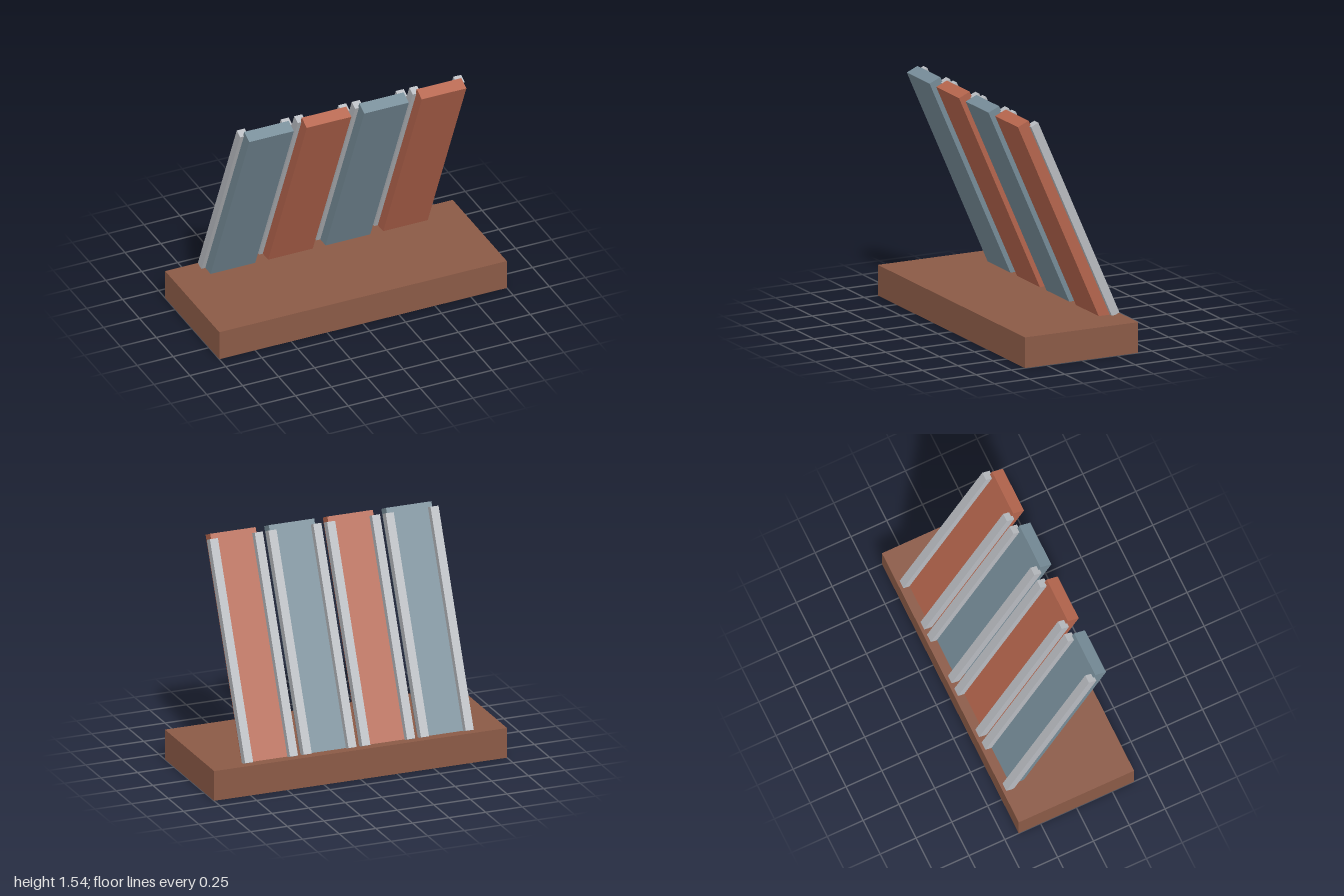
import * as THREE from 'three';

export function createModel() {
  const model = new THREE.Group();
  model.name = 'leaningPanelStand';

  const material = (name, color) => {
    const m = new THREE.MeshStandardMaterial({ color });
    m.name = name;
    return m;
  };
  const brown = material('brown base', 0x8b5a46);
  const rust = material('rust red', 0xb5654d);
  const slate = material('slate blue', 0x768c98);
  const grey = material('light grey', 0xb8bbc0);

  const box = (name, size, position, mat, parent) => {
    const mesh = new THREE.Mesh(new THREE.BoxGeometry(...size), mat);
    mesh.name = name;
    mesh.position.set(...position);
    parent.add(mesh);
  };

  // Base slab
  box('base', [2, 0.2, 0.805], [0, 0.1, 0], brown, model);

  // Leaning rack: local y runs up the slope, local -z is the back
  const rack = new THREE.Group();
  rack.name = 'leaningRack';
  rack.rotation.x = THREE.MathUtils.degToRad(23.8);
  model.add(rack);

  // Four panels in alternating colours, each with two rails on its back
  [-0.6, -0.2, 0.2, 0.6].forEach((x, i) => {
    const unit = new THREE.Group();
    unit.name = 'panelUnit' + (i + 1);
    unit.position.x = x;
    box('panel', [0.31, 1.5, 0.083], [0, 0.756, -0.351], i % 2 ? rust : slate, unit);
    for (const side of [-1, 1]) {
      box(side < 0 ? 'rightRail' : 'leftRail', [0.055, 1.43, 0.056], [side * 0.153, 0.756, -0.41], grey, unit);
    }
    rack.add(unit);
  });

  return model;
}
